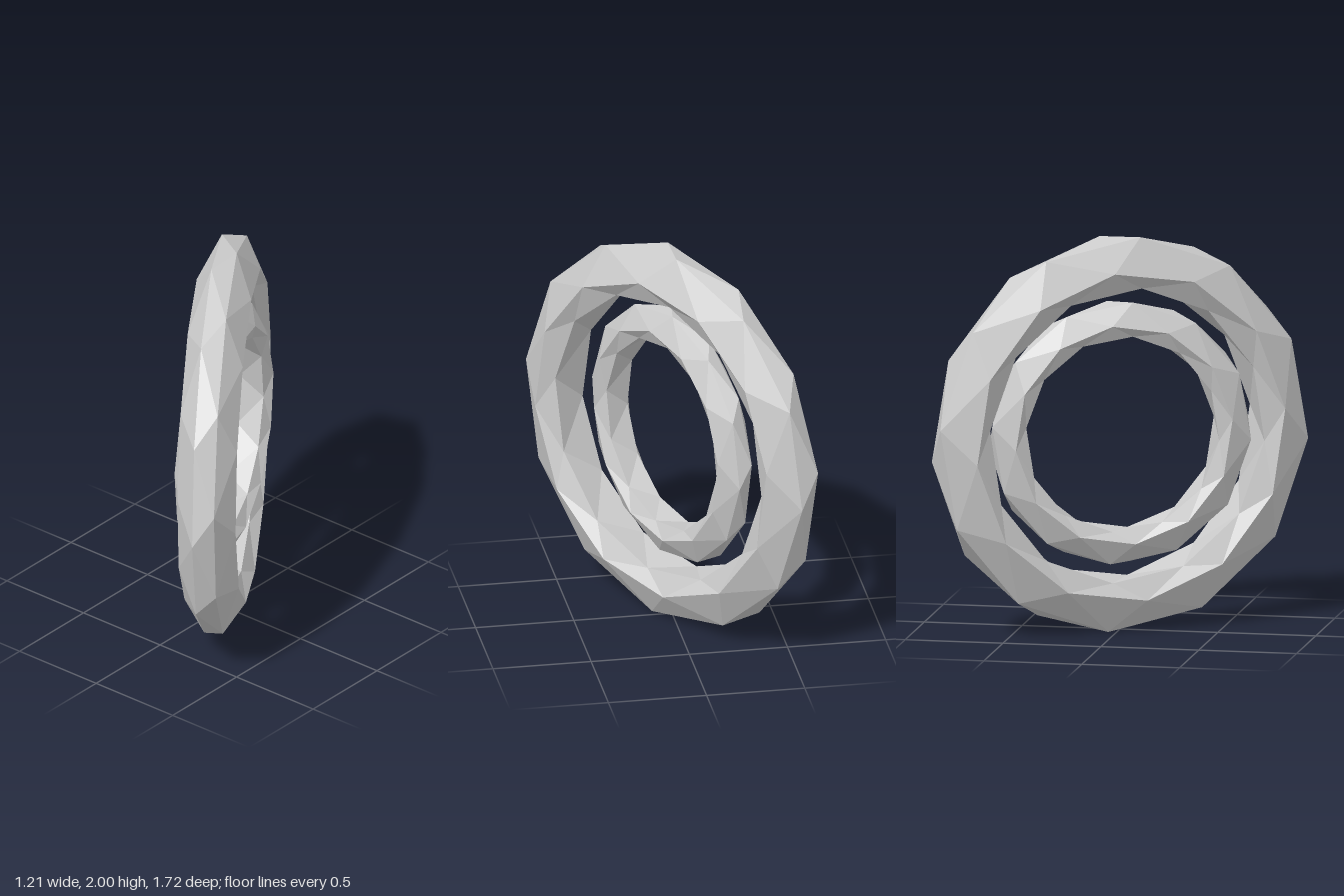
import * as THREE from 'three';

const SEGMENTS = 12;

// Cross-section, walked around the tube: radius, depth, angular stagger (degrees)
const SECTION = [
  [1.004, 0.055, 5],
  [0.842, 0.147, -6],
  [0.75, 0.095, 6],
  [0.75, -0.095, -6],
  [0.842, -0.147, 6],
  [1.004, -0.055, -5],
];

// Faceted ring: staggered loops of points joined by zigzag strips
function facetedRing() {
  const point = (row, k) => {
    const [r, z, stagger] = SECTION[row % SECTION.length];
    const a = THREE.MathUtils.degToRad((k * 360) / SEGMENTS + stagger);
    return [r * Math.sin(a), r * Math.cos(a), z];
  };
  const positions = [];
  const tri = (...corners) => corners.forEach((c) => positions.push(...c));

  for (let row = 0; row < SECTION.length; row++) {
    for (let k = 0; k < SEGMENTS; k++) {
      const a = point(row, k), a2 = point(row, k + 1);
      const b = point(row + 1, k), b2 = point(row + 1, k + 1);
      if (SECTION[row][2] > 0) {
        tri(b, b2, a);
        tri(a, b2, a2);
      } else {
        tri(a, b, a2);
        tri(b, b2, a2);
      }
    }
  }
  const geometry = new THREE.BufferGeometry();
  geometry.setAttribute('position', new THREE.Float32BufferAttribute(positions, 3));
  geometry.computeVertexNormals();
  return geometry;
}

export function createModel() {
  const group = new THREE.Group();
  const geometry = facetedRing();
  const material = new THREE.MeshStandardMaterial({ color: 0xcccccc, flatShading: true });

  // Two concentric rings, each turned a little differently about the vertical axis
  const addRing = (name, scale, turn, y) => {
    const ring = new THREE.Mesh(geometry, material);
    ring.name = name;
    ring.scale.setScalar(scale);
    ring.rotation.y = THREE.MathUtils.degToRad(turn);
    ring.position.y = y;
    group.add(ring);
  };
  addRing('outerRing', 1, -56.15, 1);
  addRing('innerRing', 0.665, -66.2, 1.003);

  return group;
}
